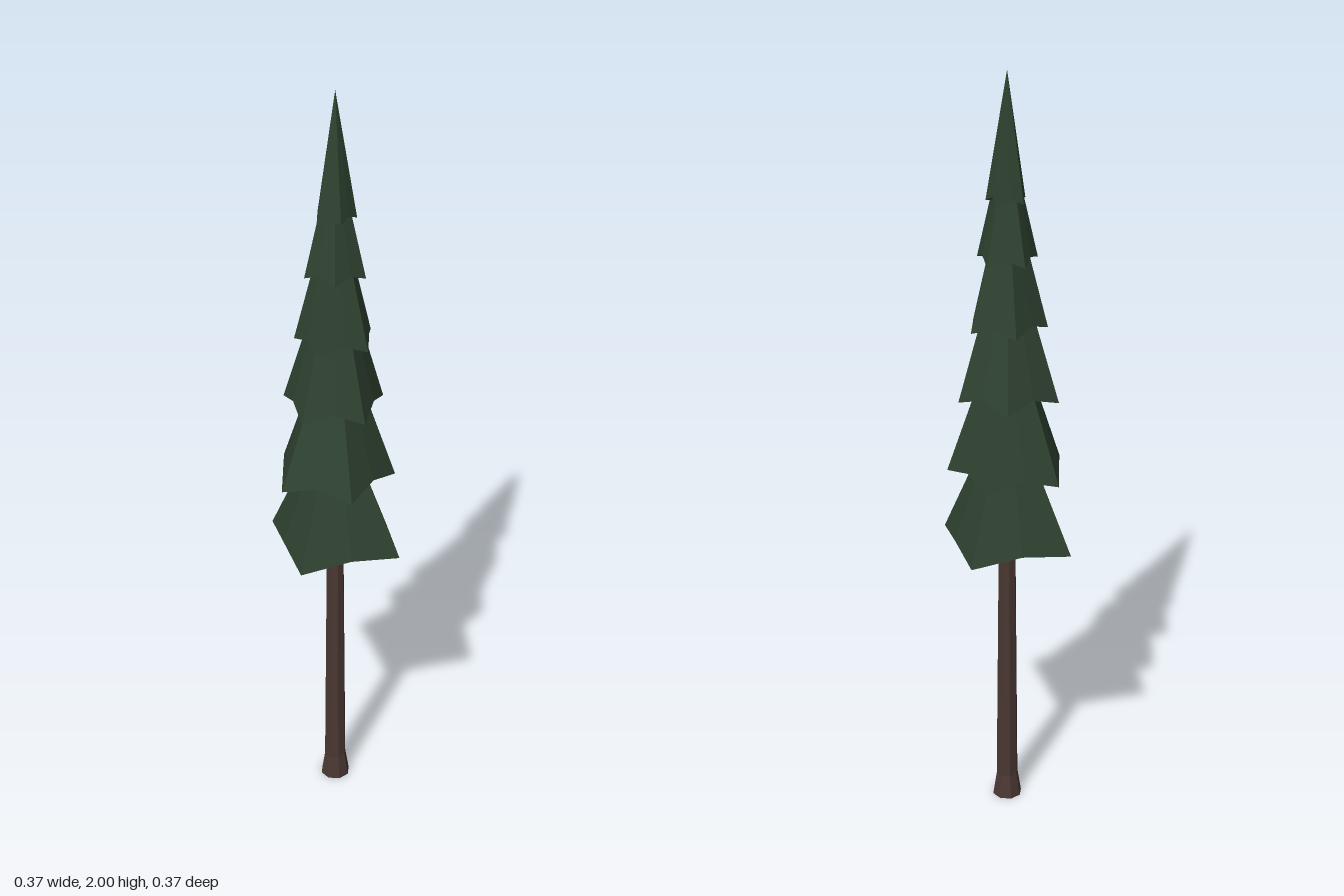
import * as THREE from 'three';

const needles = new THREE.MeshStandardMaterial({ color: 0x2f4230 });
needles.name = 'needleGreen';
const bark = new THREE.MeshStandardMaterial({ color: 0x4a3732 });
bark.name = 'barkBrown';

// One skirt of branches: a cone whose rim alternates low tips and raised notches
function tierGeometry({ tips, r, y, apex, phase, notch, lift, cx = 0, cz = 0 }) {
  const n = tips * 2;
  const rim = [];
  for (let i = 0; i < n; i++) {
    const a = THREE.MathUtils.degToRad(phase) + (i / n) * Math.PI * 2;
    const rad = i % 2 ? r * notch : r;
    rim.push([cx + Math.cos(a) * rad, i % 2 ? y + lift : y, cz + Math.sin(a) * rad]);
  }
  const top = [0, apex, 0];
  const base = [cx, y + 0.005, cz];
  const pos = [];
  for (let i = 0; i < n; i++) {
    const a = rim[i], b = rim[(i + 1) % n];
    pos.push(...top, ...b, ...a); // sloping side
    pos.push(...base, ...a, ...b); // underside
  }
  const g = new THREE.BufferGeometry();
  g.setAttribute('position', new THREE.Float32BufferAttribute(pos, 3));
  g.computeVertexNormals();
  return g;
}

export function createModel() {
  const tree = new THREE.Group();
  tree.name = 'pineTree';

  // Trunk with a flared foot
  const profile = [[0, 0], [0.039, 0], [0.029, 0.065], [0.022, 0.8]]
    .map(([x, y]) => new THREE.Vector2(x, y));
  const trunkGeo = new THREE.LatheGeometry(profile, 8).toNonIndexed();
  trunkGeo.computeVertexNormals();
  const trunk = new THREE.Mesh(trunkGeo, bark);
  trunk.name = 'trunk';
  tree.add(trunk);

  // Branch tiers from bottom to top, each turned against the one below
  const tiers = [
    { tips: 4, r: 0.185, y: 0.765, apex: 1.18, phase: 0, notch: 0.75, lift: 0.02 },
    { tips: 5, r: 0.157, y: 0.965, apex: 1.42, phase: 45, notch: 0.8, lift: 0.025, cx: -0.006 },
    { tips: 5, r: 0.131, y: 1.17, apex: 1.62, phase: 26, notch: 0.8, lift: 0.025, cx: -0.005 },
    { tips: 5, r: 0.102, y: 1.355, apex: 1.76, phase: 12, notch: 0.8, lift: 0.02, cx: 0.004, cz: 0.005 },
    { tips: 5, r: 0.078, y: 1.53, apex: 1.87, phase: 63, notch: 0.8, lift: 0.018 },
    { tips: 5, r: 0.052, y: 1.68, apex: 2, phase: 47, notch: 0.8, lift: 0.015 },
  ];
  tiers.forEach((t, i) => {
    const mesh = new THREE.Mesh(tierGeometry(t), needles);
    mesh.name = `branchTier${i + 1}`;
    tree.add(mesh);
  });
  return tree;
}
